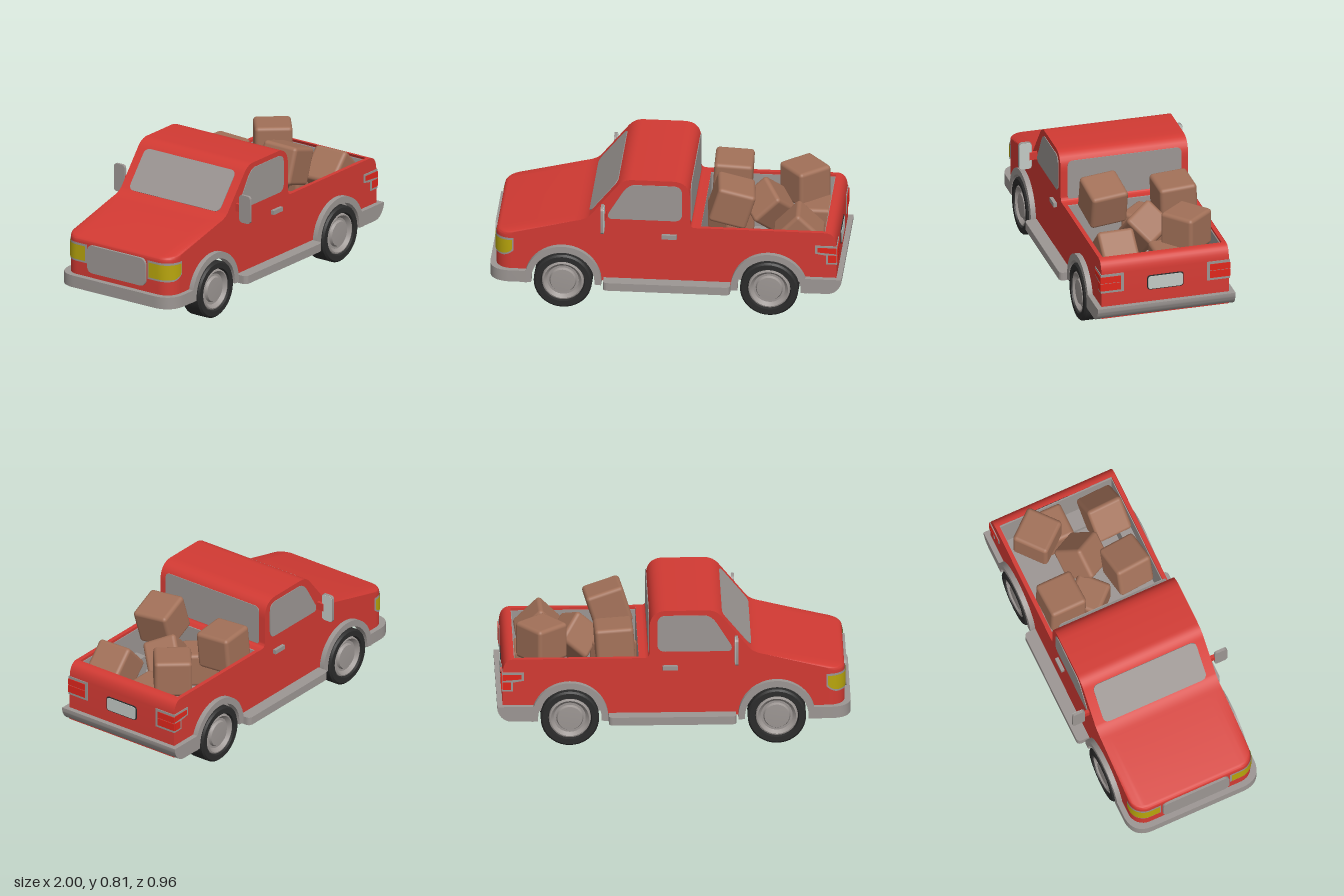
import * as THREE from 'three';
import { toCreasedNormals } from 'three/addons/utils/BufferGeometryUtils.js';
import { RoundedBoxGeometry } from 'three/addons/geometries/RoundedBoxGeometry.js';

const mat = (name, color) => {
  const m = new THREE.MeshStandardMaterial({ color, side: THREE.DoubleSide });
  m.name = name;
  return m;
};

export function createModel() {
  const truck = new THREE.Group();
  truck.name = 'pickupTruck';
  const red = mat('body red', 0xd23a33), grey = mat('trim grey', 0x9c9693), dark = mat('tyre black', 0x2b2b2b);
  const brown = mat('cardboard brown', 0xa17058), yellow = mat('headlight yellow', 0xb8a50c);
  const pale = mat('mirror pale grey', 0xc3cac5), lamp = mat('tail light red', 0xe0261c);
  const W = 0.375, AXLES = [-0.58, 0.59], AXLE_Y = 0.165;

  const add = (name, geo, material, x = 0, y = 0, z = 0) => {
    const mesh = new THREE.Mesh(geo, material);
    mesh.name = name;
    mesh.position.set(x, y, z);
    truck.add(mesh);
    return mesh;
  };
  const box = (name, m, x0, x1, y0, y1, z0, z1) =>
    add(name, new THREE.BoxGeometry(x1 - x0, y1 - y0, Math.abs(z1 - z0)), m, (x0 + x1) / 2, (y0 + y1) / 2, (z0 + z1) / 2);
  const extrude = (shape, depth) =>
    toCreasedNormals(new THREE.ExtrudeGeometry(shape, { depth, bevelEnabled: false, curveSegments: 12 }), 0.6);
  const roundRect = (w, h, r) => {
    const s = new THREE.Shape(), a = w / 2, b = h / 2;
    s.moveTo(-a + r, -b).lineTo(a - r, -b).quadraticCurveTo(a, -b, a, -b + r);
    s.lineTo(a, b - r).quadraticCurveTo(a, b, a - r, b);
    s.lineTo(-a + r, b).quadraticCurveTo(-a, b, -a, b - r);
    s.lineTo(-a, -b + r).quadraticCurveTo(-a, -b, -a + r, -b);
    return s;
  };
  const polygon = pts => new THREE.Shape(pts.map(p => new THREE.Vector2(...p)));
  // Thin plate lying on either flank
  const flank = (name, shape, d, m, s, lift = 0) =>
    add(name, extrude(shape, d), m, 0, 0, s > 0 ? W + lift : -W - lift - d);
  // Surface through a grid of points
  const sheet = (nu, nv, fn) => {
    const pos = [], idx = [];
    for (let i = 0; i < nu; i++) for (let j = 0; j < nv; j++) pos.push(...fn(i, j));
    for (let i = 0; i < nu - 1; i++) for (let j = 0; j < nv - 1; j++) {
      const a = i * nv + j, b = a + nv;
      idx.push(a, a + 1, b, b, a + 1, b + 1);
    }
    const g = new THREE.BufferGeometry();
    g.setAttribute('position', new THREE.Float32BufferAttribute(pos, 3));
    g.setIndex(idx);
    return toCreasedNormals(g, 0.6);
  };

  // Nose corners are rounded in plan
  const R = 0.09, NOSE = -0.965;
  const noseX = z => {
    const t = Math.max(0, (Math.abs(z) - (W - R)) / R);
    return NOSE + R * (1 - Math.sqrt(Math.max(0, 1 - t * t)));
  };
  const bend = (x, z) => (x < -0.8 ? -0.8 + (x + 0.8) * (-0.8 - noseX(z)) / (-0.8 - NOSE) : x);

  // Body profile: nose, hood, cab, then tailgate
  const cab = new THREE.Path();
  cab.moveTo(NOSE, 0.165).lineTo(NOSE, 0.42).quadraticCurveTo(NOSE, 0.44, -0.94, 0.447);
  cab.lineTo(-0.52, 0.535).quadraticCurveTo(-0.46, 0.545, -0.43, 0.572);
  cab.lineTo(-0.275, 0.765).quadraticCurveTo(-0.24, 0.81, -0.19, 0.81);
  cab.lineTo(0.04, 0.81).quadraticCurveTo(0.14, 0.81, 0.14, 0.7);
  cab.lineTo(0.14, 0.55).quadraticCurveTo(0.14, 0.52, 0.17, 0.52).lineTo(0.2, 0.52);
  const gate = new THREE.Path();
  gate.moveTo(0.905, 0.52).lineTo(0.915, 0.52).quadraticCurveTo(0.965, 0.515, 0.97, 0.44).lineTo(0.97, 0.165);
  const cabPts = cab.getPoints(8), gatePts = gate.getPoints(8);
  const zs = [];
  for (let i = 0; i <= 8; i++) zs.push(W - R + R * Math.sin(i * Math.PI / 16));
  const cross = [...zs.map(z => -z).reverse(), ...zs];
  for (const [name, pts] of [['hoodAndCab', cabPts], ['tailgate', gatePts]])
    add(name, sheet(pts.length, cross.length, (i, j) => [bend(pts[i].x, cross[j]), pts[i].y, cross[j]]), red);

  // Flank outline with wheel arches cut from its lower edge
  const outline = [...cabPts, ...gatePts].map(p => [bend(p.x, W), p.y]);
  for (const ax of [...AXLES].reverse())
    for (let i = 0; i <= 20; i++)
      outline.push([ax + 0.19 * Math.cos(i * Math.PI / 20), AXLE_Y + 0.19 * Math.sin(i * Math.PI / 20)]);

  const sideWindow = new THREE.Shape();
  sideWindow.moveTo(-0.31, 0.56).quadraticCurveTo(-0.335, 0.57, -0.32, 0.6).lineTo(-0.245, 0.725);
  sideWindow.quadraticCurveTo(-0.21, 0.78, -0.17, 0.78).lineTo(0.05, 0.78).quadraticCurveTo(0.095, 0.775, 0.095, 0.73);
  sideWindow.lineTo(0.095, 0.6).quadraticCurveTo(0.09, 0.56, 0.05, 0.56);

  const tyreGeo = new THREE.LatheGeometry([[0, -0.06], [0.163, -0.06], [0.165, -0.057], [0.165, 0.05], [0.155, 0.06], [0.125, 0.06], [0.118, 0.03]]
    .map(p => new THREE.Vector2(...p)), 40);
  const rimGeo = new THREE.LatheGeometry([[0.12, 0.035], [0.116, 0.052], [0.108, 0.055], [0.09, 0.035], [0.077, 0.035], [0.07, 0.05], [0, 0.053]]
    .map(p => new THREE.Vector2(...p)), 40);
  for (const g of [tyreGeo, rimGeo]) g.rotateX(Math.PI / 2);
  const tyre = toCreasedNormals(tyreGeo, 0.5), rim = toCreasedNormals(rimGeo, 0.5);

  for (const s of [1, -1]) {
    add('bodySide', new THREE.ShapeGeometry(polygon(outline)), red, 0, 0, s * W);
    box('bedRail', red, 0.2, 0.91, 0.49, 0.52, s * 0.35, s * 0.374);
    box('bedWall', grey, 0.195, 0.91, 0.2, 0.505, s * 0.345, s * 0.355);
    box('wheelWell', grey, 0.4, 0.78, 0.2, 0.36, s * 0.275, s * 0.35);
    flank('sideWindow', sideWindow, 0.004, grey, s);
    box('doorHandle', grey, -0.02, 0.065, 0.45, 0.475, s * W, s * 0.395);

    // Wheels and arch trims
    for (const ax of AXLES) {
      for (const [name, g, m] of [['tyre', tyre, dark], ['rim', rim, grey]])
        add(name, g, m, ax, AXLE_Y, s * 0.35).rotation.y = s > 0 ? 0 : Math.PI;
      const arch = new THREE.Shape();
      arch.absarc(0, 0, 0.218, -0.08, Math.PI + 0.08, false);
      arch.absarc(0, 0, 0.18, Math.PI + 0.08, -0.08, true);
      add('wheelArch', extrude(arch, 0.055), grey, ax, AXLE_Y, s > 0 ? 0.35 : -0.405);
    }

    // Running board
    const sill = new THREE.Shape();
    sill.moveTo(-0.35, s * 0.36).lineTo(-0.35, s * 0.42).quadraticCurveTo(-0.35, s * 0.447, -0.32, s * 0.447);
    sill.lineTo(0.34, s * 0.447).quadraticCurveTo(0.37, s * 0.447, 0.37, s * 0.42).lineTo(0.37, s * 0.36);
    add('runningBoard', extrude(sill, 0.048).rotateX(Math.PI / 2), grey, 0, 0.185, 0);

    // Door mirror
    box('mirrorArm', red, -0.355, -0.335, 0.565, 0.61, s * 0.37, s * 0.42);
    const face = (name, w, h, d, m, x) =>
      add(name, extrude(roundRect(w, h, 0.022), d), m, x, 0.59, s * 0.443).rotation.y = Math.PI / 2;
    face('mirrorShell', 0.076, 0.165, 0.016, grey, -0.36);
    face('mirrorGlass', 0.072, 0.16, 0.003, pale, -0.344);

    // Headlight wrapped round the nose corner, on a grey surround
    for (const [name, m, z0, y0, y1, off, tail] of [['headlightSurround', grey, 0.215, 0.3, 0.412, 0.003, 0.015], ['headlight', yellow, 0.225, 0.312, 0.4, 0.006, 0.005]])
      add(name, sheet(14, 2, (i, j) => {
        const k = Math.max(0, i - 2) / 10, a = Math.min(1, k) * Math.PI / 2;
        const z = i < 2 ? z0 + (W - R - z0) * i / 2 : W - R + (R + off) * Math.sin(a);
        const x = NOSE + R - (R + off) * Math.cos(a) + (i === 13 ? tail : 0);
        const low = y0 + 0.035 * Math.max(0, (i - 8) / 5) ** 2;
        return [x, j ? y1 : low, s * z];
      }), m);

    // Tail light wrapped round the rear corner
    flank('tailLightFrame', polygon([[0.85, 0.44], [0.968, 0.44], [0.972, 0.325], [0.91, 0.325], [0.91, 0.38], [0.85, 0.39]]), 0.004, grey, s);
    flank('tailLightSideUpper', polygon([[0.862, 0.428], [0.968, 0.428], [0.968, 0.392], [0.862, 0.4]]), 0.003, lamp, s, 0.004);
    flank('tailLightSideLower', polygon([[0.922, 0.382], [0.968, 0.382], [0.968, 0.337], [0.922, 0.337]]), 0.003, lamp, s, 0.004);
    box('tailLightRearFrame', grey, 0.967, 0.974, 0.325, 0.44, s * 0.245, s * 0.379);
    box('tailLightRearUpper', lamp, 0.97, 0.978, 0.387, 0.425, s * 0.262, s * 0.381);
    box('tailLightRearLower', lamp, 0.97, 0.978, 0.34, 0.383, s * 0.262, s * 0.381);
  }

  // Bed
  box('bedFloor', grey, 0.195, 0.965, 0.19, 0.21, -0.35, 0.35);
  box('bedFrontWall', grey, 0.19, 0.2, 0.2, 0.515, -0.35, 0.35);
  box('bedRearWall', grey, 0.9, 0.908, 0.2, 0.505, -0.35, 0.35);

  // Plates across the truck: windows, grille and number plate
  const across = (name, w, h, r, d, m, x, y, turn) =>
    add(name, extrude(roundRect(w, h, r), d), m, x, y, 0).rotation.y = turn * Math.PI / 2;
  across('rearWindow', 0.67, 0.245, 0.035, 0.004, grey, 0.14, 0.645, 1);
  across('grille', 0.41, 0.165, 0.04, 0.014, grey, NOSE, 0.335, -1);
  across('plateBorder', 0.214, 0.088, 0.02, 0.005, dark, 0.97, 0.358, 1);
  across('plate', 0.204, 0.078, 0.018, 0.003, pale, 0.975, 0.358, 1);
  const windshield = add('windshield', extrude(roundRect(0.64, 0.26, 0.04), 0.004), grey, -0.3535, 0.6695, 0);
  windshield.rotation.set(-Math.atan2(0.155, 0.193), -Math.PI / 2, 0, 'YXZ');

  // Front bumper: a band wrapped round the nose
  const bumper = new THREE.Shape();
  bumper.moveTo(-0.79, -0.405).lineTo(-0.89, -0.405).quadraticCurveTo(-1, -0.395, -1, -0.28);
  bumper.lineTo(-1, 0.28).quadraticCurveTo(-1, 0.395, -0.89, 0.405).lineTo(-0.79, 0.405);
  bumper.lineTo(-0.79, 0.36).lineTo(-0.87, 0.36).quadraticCurveTo(-0.95, 0.35, -0.95, 0.27);
  bumper.lineTo(-0.95, -0.27).quadraticCurveTo(-0.95, -0.35, -0.87, -0.36).lineTo(-0.79, -0.36);
  add('frontBumper', extrude(bumper, 0.07).rotateX(Math.PI / 2), grey, 0, 0.22, 0);

  // Rear bumper
  const rear = new THREE.Shape();
  rear.moveTo(0.79, 0.15).lineTo(0.92, 0.15).quadraticCurveTo(0.98, 0.155, 1, 0.22).lineTo(1, 0.24).lineTo(0.79, 0.24);
  add('rearBumper', extrude(rear, 0.81), grey, 0, 0, -0.405);

  // Cargo: position, rotation, size
  const cargo = [
    [0.335, 0.565, -0.232, 0.05, 0.03, -0.06, 0.22],
    [0.362, 0.612, 0.19, 0.06, 0.1, -0.3, 0.22],
    [0.745, 0.56, -0.188, 0, 0.7, 0, 0.215],
    [0.8, 0.38, -0.08, 0, 0, 0, 0.21],
    [0.745, 0.453, 0.228, 0, 0.04, 0.8, 0.215],
    [0.555, 0.5, 0.0, 0.45, 0.5, 0.6, 0.2],
    [0.335, 0.4, -0.06, 0, 0.75, 0, 0.2],
  ];
  for (const [x, y, z, a, b, c, size] of cargo)
    add('cargoBox', new RoundedBoxGeometry(size, size, size, 3, 0.022), brown, x, y, z).rotation.set(a, b, c);

  return truck;
}
